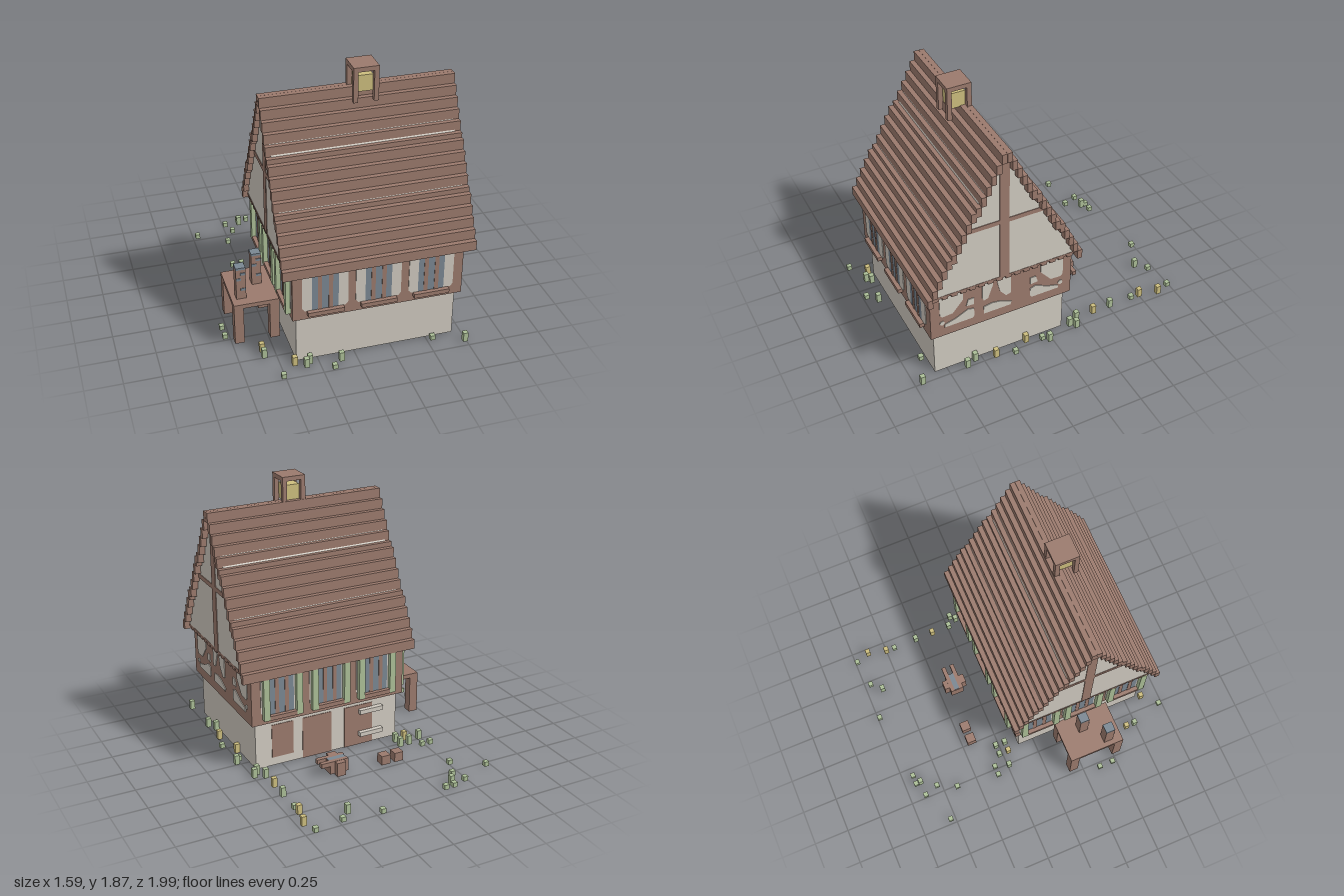
import * as THREE from 'three';

export function createModel() {
  const root = new THREE.Group();
  root.name = 'timberHouse';
  const mat = (name, color) => Object.assign(new THREE.MeshStandardMaterial({ color }), { name });
  const wood = mat('brown timber', 0x9b7a6d);
  const plaster = mat('pale plaster', 0xd0cac0);
  const leaf = mat('soft green', 0xacbf97);
  const glass = mat('blue grey', 0x7a8792);
  const straw = mat('straw yellow', 0xcdbe7e);

  const group = (name, parent = root) => {
    const g = new THREE.Group();
    g.name = name;
    parent.add(g);
    return g;
  };
  const add = (parent, name, geometry, material) => {
    const m = new THREE.Mesh(geometry, material);
    m.name = name;
    parent.add(m);
    return m;
  };
  // box from its lower and upper limits
  const box = (parent, name, material, x0, x1, y0, y1, z0, z1) => {
    const m = add(parent, name, new THREE.BoxGeometry(x1 - x0, y1 - y0, z1 - z0), material);
    m.position.set((x0 + x1) / 2, (y0 + y1) / 2, (z0 + z1) / 2);
    return m;
  };
  // thin plate from an outline, facing +z
  const plate = (parent, name, material, pts, depth = 0.005) =>
    add(parent, name, new THREE.ExtrudeGeometry(
      new THREE.Shape(pts.map(p => new THREE.Vector2(p[0], p[1]))),
      { depth, bevelEnabled: false }), material);

  // hollow ground floor, open underneath
  const ground = group('groundFloor');
  box(ground, 'frontWall', plaster, -0.39, 0.69, 0, 0.345, 0.829, 0.835);
  box(ground, 'backWall', plaster, -0.39, 0.69, 0, 0.345, -0.115, -0.109);
  box(ground, 'leftWall', plaster, 0.684, 0.69, 0, 0.345, -0.109, 0.829);
  box(ground, 'rightWall', plaster, -0.39, -0.384, 0, 0.345, -0.109, 0.829);
  box(ground, 'ceiling', plaster, -0.384, 0.684, 0.338, 0.345, -0.109, 0.829);

  // doors and ledges on the back
  box(ground, 'smallDoor', wood, 0.41, 0.57, 0.06, 0.305, -0.119, -0.115);
  box(ground, 'middleDoor', wood, 0.12, 0.34, 0, 0.305, -0.119, -0.115);
  box(ground, 'sideDoor', wood, -0.2, 0.02, 0, 0.305, -0.119, -0.115);
  for (const y of [0.07, 0.243]) box(ground, 'ledge', plaster, -0.27, -0.09, y, y + 0.032, -0.15, -0.115);

  // upper floor
  const upper = group('upperFloor');
  box(upper, 'upperWalls', wood, -0.42, 0.725, 0.342, 0.71, -0.15, 0.865);

  // window facing +z, centred on x = 0 of its own group
  function windowUnit(x, z, turn, shutters) {
    const g = group('window', upper);
    g.position.set(x, 0, z);
    g.rotation.y = turn;
    for (const s of [-1, 1]) {
      const a = s * 0.088, b = s * 0.152, c = s * 0.135;
      const pts = [[a, 0.408], [c, 0.408], [b, 0.428], [b, 0.662], [c, 0.682], [a, 0.682]];
      plate(g, 'plasterPanel', plaster, s > 0 ? pts : pts.reverse());
      if (shutters) box(g, 'shutter', leaf, s * 0.12 - 0.022, s * 0.12 + 0.022, 0.38, 0.68, 0, 0.035);
      box(g, 'mullion', wood, s * 0.036 - 0.014, s * 0.036 + 0.014, 0.408, 0.682, 0, 0.008);
    }
    box(g, 'pane', glass, -0.088, 0.088, 0.408, 0.682, 0, 0.005);
    box(g, 'sill', wood, -0.12, 0.12, 0.378, 0.408, 0, 0.034);
  }
  for (const x of [-0.205, 0.15, 0.507]) {
    windowUnit(x, 0.865, 0, false);
    windowUnit(x, -0.15, Math.PI, true);
  }
  for (const z of [0.03, 0.357, 0.69]) windowUnit(-0.42, z, -Math.PI / 2, true);

  // plaster fields between the braces; outlines hold (-z, y)
  const mid = 0.357;
  const fields = group('plasterFields', upper);
  fields.position.x = 0.725;
  fields.rotation.y = Math.PI / 2;
  [
    [[-0.8, 0.675], [-0.635, 0.675], [-0.635, 0.605], [-0.71, 0.515], [-0.785, 0.51], [-0.8, 0.53]],
    [[-0.77, 0.415], [-0.57, 0.415], [-0.56, 0.43], [-0.56, 0.49], [-0.6, 0.505], [-0.69, 0.46], [-0.765, 0.44]],
    [[-0.615, 0.535], [-0.56, 0.53], [-0.56, 0.585], [-0.6, 0.585]],
  ].forEach(p => {
    plate(fields, 'plasterField', plaster, p);
    plate(fields, 'plasterField', plaster, p.map(([u, y]) => [-2 * mid - u, y]).reverse());
  });
  [
    [[-0.5, 0.675], [-0.425, 0.675], [-0.425, 0.64], [-0.46, 0.54], [-0.49, 0.53], [-0.5, 0.55]],
    [[-0.4, 0.675], [-0.295, 0.675], [-0.295, 0.52], [-0.33, 0.51], [-0.375, 0.565]],
    [[-0.49, 0.415], [-0.3, 0.415], [-0.29, 0.44], [-0.37, 0.475], [-0.43, 0.485], [-0.49, 0.475]],
  ].forEach(p => plate(fields, 'plasterField', plaster, p));
  for (const u of [-0.785, 0.07]) {
    const dot = add(fields, 'plasterDot', new THREE.CylinderGeometry(0.017, 0.017, 0.005, 8), plaster);
    dot.rotation.x = Math.PI / 2;
    dot.position.set(u, 0.457, 0.003);
  }

  // jettied gable block with timber cross on both ends
  const gable = group('gable');
  const core = plate(gable, 'gableWall', plaster,
    [[-mid - 0.53, 0.712], [-mid + 0.53, 0.712], [-mid, 1.68]], 1.21);
  core.rotation.y = Math.PI / 2;
  core.position.x = -0.455;
  for (const [a, b] of [[0.755, 0.759], [-0.459, -0.455]]) {
    box(gable, 'kingPost', wood, a, b, 0.71, 1.65, mid - 0.033, mid + 0.033);
    box(gable, 'collarBeam', wood, a, b, 1.148, 1.18, mid - 0.28, mid + 0.28);
  }
  box(gable, 'gableBase', wood, -0.457, 0.757, 0.7, 0.716, mid - 0.52, mid + 0.52);
  // row of beam ends below each gable
  for (let i = 0; i < 16; i++) {
    const z = -0.14 + i * 0.0635;
    box(gable, 'beamEnd', wood, -0.455, 0.755, 0.682, 0.7, z, z + 0.04);
  }

  // stepped roof courses, mirrored about the ridge; two courses rise by half
  const roof = group('roof');
  const step = 0.0339;
  for (let i = 0; i < 16; i++) {
    const top = 0.68 + step * (2 * (i + 1) - (i >= 5) - (i >= 10));
    const out = 0.545 - i * 0.034;
    for (const s of [-1, 1]) {
      const a = mid + s * out, b = mid + s * (out - 0.0345);
      box(roof, 'roofCourse', wood, -0.49, 0.795, top - 2 * step, top, Math.min(a, b), Math.max(a, b));
    }
  }

  // open bell turret
  const turret = group('turret');
  for (const x of [0.085, 0.22]) for (const z of [0.325, 0.459])
    box(turret, 'turretPost', wood, x, x + 0.031, 1.63, 1.836, z, z + 0.031);
  box(turret, 'turretCap', wood, 0.085, 0.251, 1.835, 1.866, 0.325, 0.49);
  box(turret, 'bell', straw, 0.116, 0.22, 1.69, 1.8, 0.356, 0.459);

  // side platform with two posts on it
  const platform = group('platform');
  box(platform, 'platformTop', wood, -0.73, -0.425, 0.275, 0.306, 0.15, 0.555);
  for (const x of [-0.73, -0.49]) for (const z of [0.15, 0.49])
    box(platform, 'platformLeg', wood, x, x + 0.064, 0, 0.275, z, z + 0.065);
  for (const [x, z] of [[-0.696, 0.42], [-0.56, 0.285]]) {
    box(platform, 'post', wood, x, x + 0.066, 0.306, 0.53, z, z + 0.066);
    box(platform, 'postCap', glass, x, x + 0.066, 0.53, 0.546, z, z + 0.066);
    for (const [y, d] of [[0.37, 0.03], [0.45, 0], [0.49, 0.03]])
      box(platform, 'postPatch', glass, x + d, x + d + 0.034, y, y + 0.018, z + 0.064, z + 0.07);
  }

  // handcart and crates behind the house
  const cart = group('handcart');
  box(cart, 'cartBody', wood, 0.15, 0.285, 0.01, 0.096, -0.425, -0.33);
  box(cart, 'cartLoad', glass, 0.155, 0.282, 0.09, 0.102, -0.396, -0.36);
  for (const z of [-0.425, -0.36]) box(cart, 'cartHandle', wood, 0.15, 0.35, 0.07, 0.102, z, z + 0.03);
  for (const z of [-0.46, -0.33]) box(cart, 'cartWheel', wood, 0.185, 0.25, 0, 0.1, z, z + 0.036);
  for (const x of [-0.255, -0.155]) box(root, 'crate', wood, x, x + 0.066, 0, 0.066, -0.461, -0.395);

  // small plants: x, z, tall, and 1 for straw coloured
  const plants = group('plants');
  [
    [-0.715, -0.785, 0], [-0.48, -0.885, 0], [-0.375, -0.92, 0], [-0.375, -0.885, 1], [-0.31, -0.92, 0],
    [-0.445, -0.785, 0], [-0.51, -0.65, 0], [0.2, -0.985, 0], [0.47, -0.955, 0], [0.4, -0.885, 1],
    [0.675, -0.985, 0], [0.71, -0.885, 1, 1], [0.675, -0.75, 1, 1], [0.675, -0.685, 0], [0.675, -0.51, 1],
    [0.675, -0.375, 1, 1], [0.675, -0.24, 1], [0.742, -0.205, 1], [-0.545, -0.34, 0], [-0.48, -0.34, 0],
    [-0.51, -0.24, 1], [-0.41, -0.275, 1], [-0.34, -0.275, 1], [-0.41, -0.205, 1, 1], [-0.34, -0.205, 1],
    [-0.782, 0.37, 0], [-0.782, 0.47, 0], [-0.58, 0.675, 1, 1], [-0.58, 0.74, 1],
    [-0.51, 0.975, 0], [-0.34, 0.91, 1], [-0.17, 0.975, 0], [-0.105, 0.91, 1], [0.742, 0.945, 1],
    [0.742, 0.62, 1], [0.71, 0.55, 1], [0.742, 0.41, 1, 1], [0.775, 0.28, 0], [0.71, 0.17, 1, 1],
    [0.742, 0.06, 0], [0.775, 0.02, 1], [0.71, -0.17, 1], [0.54, 0.87, 0], [-0.31, 0.88, 1], [-0.41, 0.87, 1, 1],
  ].forEach(([x, z, tall, dry]) =>
    box(plants, 'plant', dry ? straw : leaf, x - 0.0165, x + 0.0165, 0, tall ? 0.067 : 0.0335, z - 0.0165, z + 0.0165));

  return root;
}
